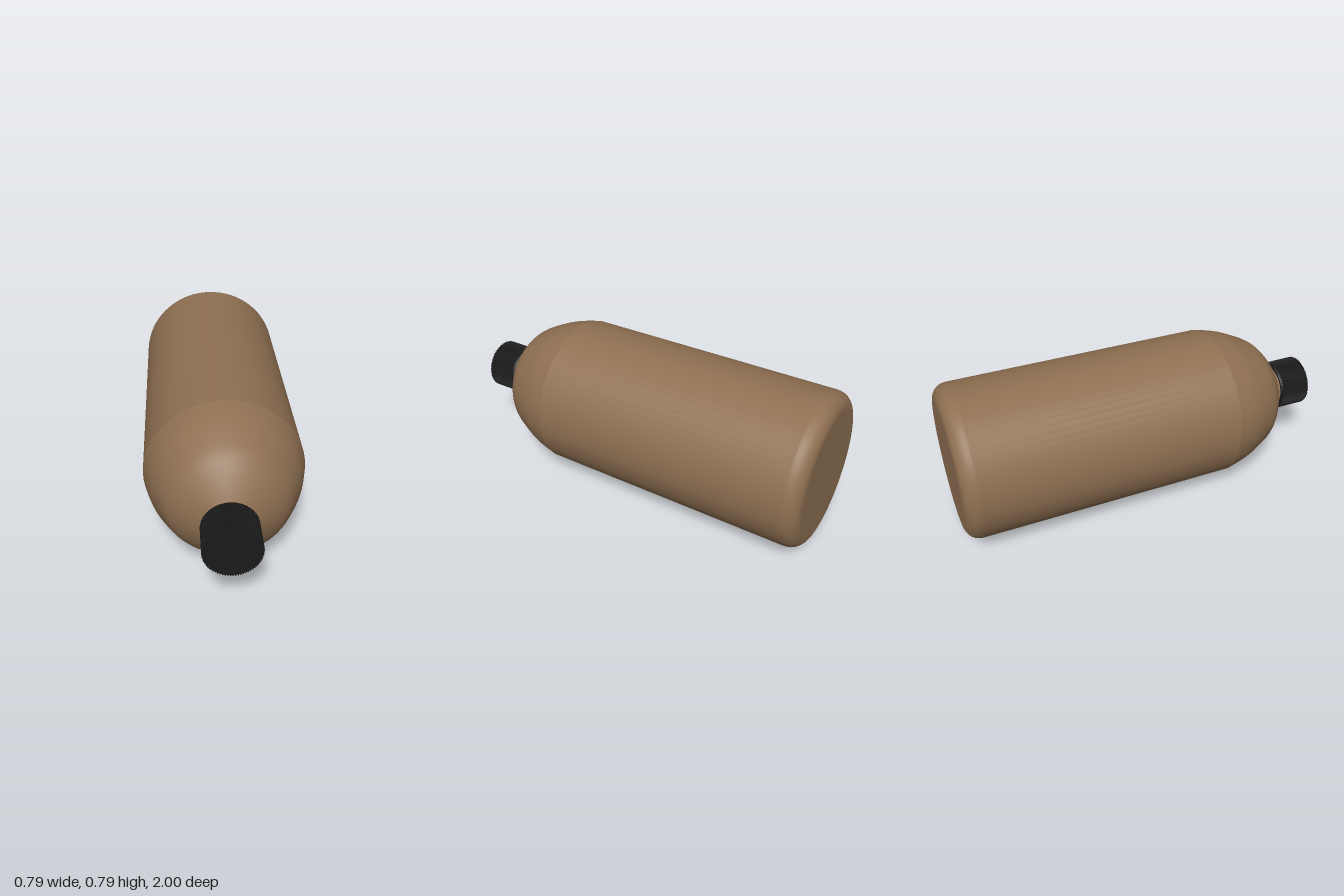
import * as THREE from 'three';

const R = 0.393;          // body radius
const CAP_R = 0.133;      // cap radius
const brown = new THREE.MeshStandardMaterial({ color: 0x8f7052 });
const black = new THREE.MeshStandardMaterial({ color: 0x1a1a1a });

// Surface of revolution around z; points are [radius, z] from back to front
function turned(name, points) {
  const profile = points.map(([r, z]) => new THREE.Vector2(r, z));
  const mesh = new THREE.Mesh(new THREE.LatheGeometry(profile, 72).rotateX(Math.PI / 2), brown);
  mesh.name = name;
  return mesh;
}

// Gear-like outline giving the cap its fine grip ribs
function ribbedCap() {
  const teeth = 72, shape = new THREE.Shape();
  for (let i = 0; i < teeth * 4; i++) {
    const a = (i / (teeth * 4)) * Math.PI * 2;
    const r = i % 4 < 2 ? CAP_R : CAP_R - 0.006;
    if (i === 0) shape.moveTo(r, 0);
    else shape.lineTo(r * Math.cos(a), r * Math.sin(a));
  }
  shape.closePath();
  const geo = new THREE.ExtrudeGeometry(shape, { depth: 0.165, bevelEnabled: false });
  const mesh = new THREE.Mesh(geo.translate(0, 0, 0.835), black);
  mesh.name = 'capGrip';
  return mesh;
}

export function createModel() {
  const bottle = new THREE.Group();
  bottle.name = 'bottle';

  // Flat base with a rounded rim
  const rim = 0.075, corner = [];
  for (let i = 0; i <= 8; i++) {
    const a = (i / 8) * Math.PI / 2;
    corner.push([R - rim + rim * Math.sin(a), -1 + rim - rim * Math.cos(a)]);
  }
  bottle.add(turned('base', [[0, -1], [R - rim, -1]]));
  bottle.add(turned('baseRim', corner));

  // Straight wall
  bottle.add(turned('body', [[R, -1 + rim], [R, 0.42]]));

  // Domed shoulder running into the neck
  const curve = new THREE.SplineCurve([
    [R, 0.42], [0.368, 0.52], [0.335, 0.6], [0.29, 0.685], [0.235, 0.74], [0.17, 0.785], [0.117, 0.815],
  ].map(([r, z]) => new THREE.Vector2(r, z)));
  bottle.add(turned('shoulder', curve.getPoints(24).map((p) => [p.x, p.y])));

  // Neck and screw cap
  const top = new THREE.Group();
  top.name = 'neckAndCap';
  top.add(turned('neck', [[0.117, 0.805], [0.117, 0.85]]));
  const collar = new THREE.Mesh(new THREE.CylinderGeometry(CAP_R - 0.002, CAP_R - 0.006, 0.012, 72).rotateX(Math.PI / 2), black);
  collar.name = 'capCollar';
  collar.position.z = 0.833;
  top.add(collar, ribbedCap());
  top.position.set(-0.004, -0.005, 0);
  bottle.add(top);

  bottle.position.y = R;
  const model = new THREE.Group();
  model.add(bottle);
  return model;
}
